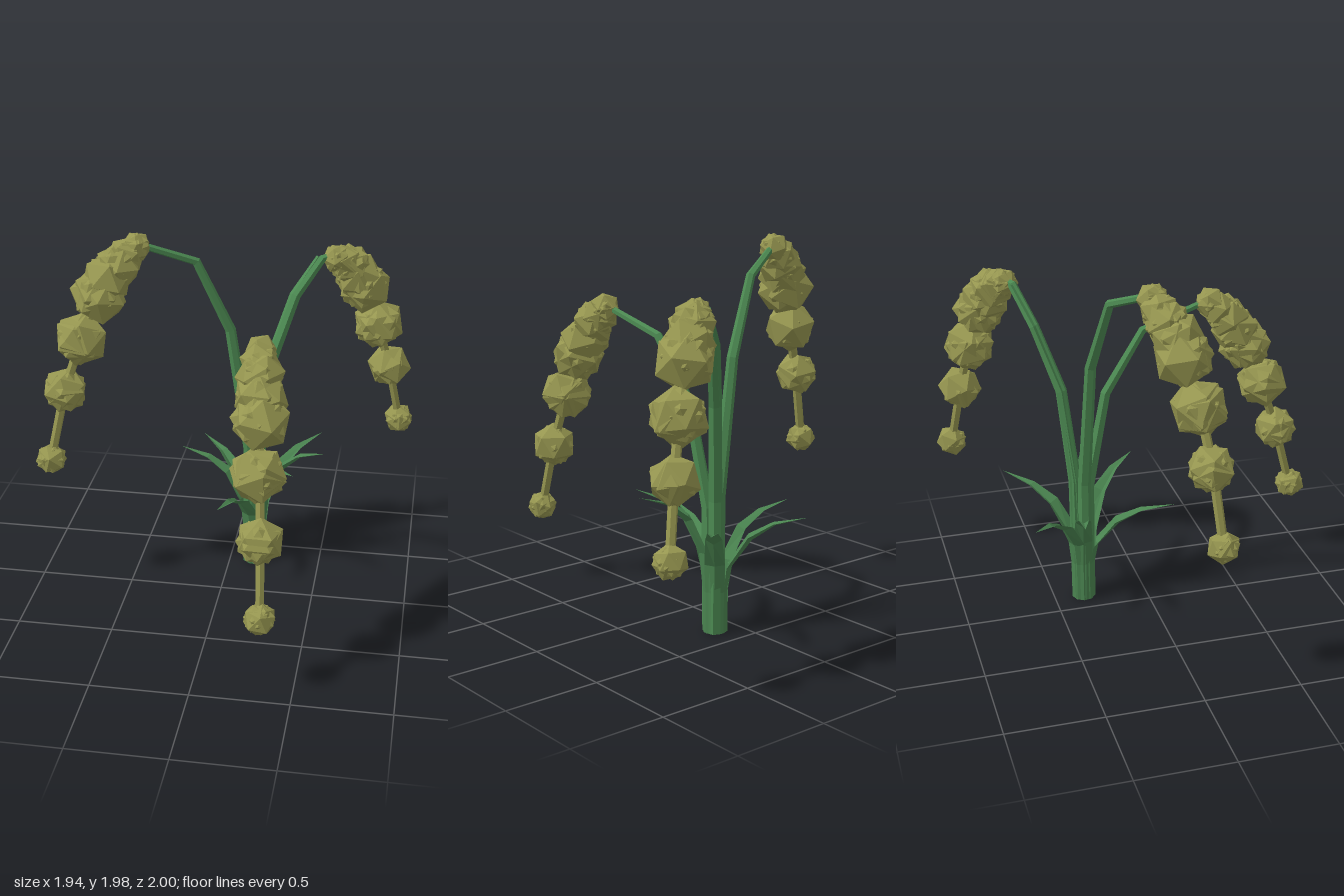
import * as THREE from 'three';
import { mergeGeometries } from 'three/addons/utils/BufferGeometryUtils.js';

const BASE = new THREE.Vector3(0.135, 0, -0.34);
const UP = new THREE.Vector3(0, 1, 0);
const V = (p) => new THREE.Vector3(...p);

// Small seeded random generator for the rough grain clusters
function seeded(seed) {
  return () => {
    seed = (seed * 16807) % 2147483647;
    return seed / 2147483647;
  };
}

// Tapered tube: rings of a cylinder moved onto a path
function taperedTube(points, r0, r1, sides) {
  const n = points.length - 1;
  const heading = points[n].clone().sub(points[0]).setY(0).normalize();
  const across = new THREE.Vector3().crossVectors(UP, heading);
  const geo = new THREE.CylinderGeometry(1, 1, n, sides, n);
  const pos = geo.attributes.position;
  for (let k = 0; k < pos.count; k++) {
    const i = Math.round(pos.getY(k) + n / 2);
    const tangent = points[Math.min(i + 1, n)].clone().sub(points[Math.max(i - 1, 0)]).normalize();
    const out = new THREE.Vector3().crossVectors(across, tangent).normalize();
    const side = new THREE.Vector3().crossVectors(tangent, out);
    const r = THREE.MathUtils.lerp(r0, r1, i / n);
    const p = points[i].clone().addScaledVector(side, pos.getX(k) * r).addScaledVector(out, pos.getZ(k) * r);
    pos.setXYZ(k, p.x, p.y, p.z);
  }
  geo.computeVertexNormals();
  return geo;
}

// Folded blade: upright sheath at the base, arching out to a pointed tip
function bladeGeometry(tip) {
  const flat = tip.clone().sub(BASE).setY(0);
  const reach = flat.length();
  const heading = flat.normalize();
  const side = new THREE.Vector3().crossVectors(UP, heading);
  // radius from the centre, height, half width, fold depth
  const rows = [
    [0.065, 0, 0.045, 0.02],
    [0.065, 0.22, 0.047, 0.02],
    [0.085, tip.y * 0.57, 0.052, 0.025],
    [reach * 0.4, tip.y * 0.8, 0.042, 0.02],
    [reach * 0.65, tip.y * 0.93, 0.026, 0.01],
    [reach, tip.y, 0, 0],
  ];
  const geo = new THREE.PlaneGeometry(2, 1, 2, rows.length - 1);
  const pos = geo.attributes.position;
  for (let k = 0; k < pos.count; k++) {
    const [r, y, w, fold] = rows[Math.floor(k / 3)];
    const x = pos.getX(k);
    const lift = Math.abs(x) * fold;
    const p = BASE.clone().addScaledVector(heading, r - lift).addScaledVector(side, x * w);
    pos.setXYZ(k, p.x, y + (k >= 9 ? lift : 0), p.z);
  }
  geo.computeVertexNormals();
  return geo;
}

// Rough cluster: overlapping, randomly turned icosahedra along the spine
function grainGeometry(spine, rand) {
  const radii = [0.08, 0.118, 0.148, 0.145, 0.122, 0.085];
  const parts = [];
  const add = (centre, r, copies) => {
    for (let c = 0; c < copies; c++) {
      const g = new THREE.IcosahedronGeometry(r * (1 - 0.04 * c), 0);
      g.rotateX(rand() * 6.28).rotateY(rand() * 6.28).rotateZ(rand() * 6.28);
      const j = () => (rand() - 0.5) * r * 0.16;
      g.translate(centre.x + j(), centre.y + j(), centre.z + j());
      parts.push(g);
    }
  };
  spine.forEach((p, i) => {
    add(p, radii[i], 3);
    if (i < 2) add(p.clone().lerp(spine[i + 1], 0.5), (radii[i] + radii[i + 1]) / 2, 2);
  });
  return mergeGeometries(parts);
}

// Each stalk: the bending stem, then the centres of its hanging clusters
const STALKS = [
  {
    name: 'left',
    stem: [[0.115, 0, -0.33], [0.105, 0.7, -0.33], [0.0, 1.4, -0.31], [-0.17, 1.79, -0.25], [-0.44, 1.91, -0.12]],
    grain: [[-0.45, 1.9, -0.11], [-0.54, 1.81, -0.07], [-0.63, 1.67, -0.01], [-0.72, 1.44, 0.04], [-0.81, 1.16, 0.08], [-0.89, 0.78, 0.115]],
  },
  {
    name: 'front',
    stem: [[0.145, 0, -0.31], [0.15, 0.65, -0.3], [0.18, 1.17, -0.19], [0.21, 1.49, 0.02], [0.255, 1.6, 0.38]],
    grain: [[0.26, 1.59, 0.4], [0.27, 1.5, 0.5], [0.28, 1.33, 0.61], [0.3, 1.1, 0.71], [0.32, 0.79, 0.82], [0.335, 0.42, 0.92]],
  },
  {
    name: 'back',
    stem: [[0.155, 0, -0.36], [0.16, 0.7, -0.37], [0.21, 1.2, -0.42], [0.32, 1.53, -0.53], [0.45, 1.72, -0.61], [0.52, 1.73, -0.65]],
    grain: [[0.52, 1.71, -0.65], [0.59, 1.66, -0.7], [0.67, 1.53, -0.75], [0.75, 1.29, -0.81], [0.82, 1.02, -0.86], [0.89, 0.67, -0.915]],
  },
];

const LEAF_TIPS = [
  [-0.2, 0.61, -0.66], [-0.29, 0.64, -0.42], [0.0, 0.56, 0.14],
  [0.38, 0.72, 0.0], [0.53, 0.75, -0.23], [0.47, 0.65, -0.7],
];

export function createModel() {
  const stemGreen = new THREE.MeshStandardMaterial({ color: 0x4c8a52, flatShading: true });
  stemGreen.name = 'stem green';
  const leafGreen = new THREE.MeshStandardMaterial({ color: 0x4a8450, flatShading: true, side: THREE.DoubleSide });
  leafGreen.name = 'leaf green';
  const grainOlive = new THREE.MeshStandardMaterial({ color: 0x969650, flatShading: true });
  grainOlive.name = 'grain olive';

  const model = new THREE.Group();
  model.name = 'grainPlant';
  const put = (parent, name, geo, mat) => {
    const mesh = new THREE.Mesh(geo, mat);
    mesh.name = name;
    parent.add(mesh);
  };

  // Three drooping stalks
  STALKS.forEach(({ name, stem, grain }, i) => {
    const stalk = new THREE.Group();
    stalk.name = name + 'Stalk';
    const spine = grain.map(V);
    put(stalk, 'stem', taperedTube(stem.map(V), 0.04, 0.018, 6), stemGreen);
    put(stalk, 'grainRod', taperedTube(spine, 0.026, 0.024, 6), grainOlive);
    put(stalk, 'grainHead', grainGeometry(spine, seeded(731 + i * 977)), grainOlive);
    model.add(stalk);
  });

  // Thin second strand beside the back stem
  const strand = STALKS[2].stem.slice(0, 5).map(V);
  strand.forEach((p, i) => p.add(new THREE.Vector3(-0.006 * i, 0, -0.004 * i)));
  put(model, 'sideStrand', taperedTube(strand, 0.034, 0.014, 5), stemGreen);

  // Ring of leaves wrapped around the base
  LEAF_TIPS.forEach((tip) => put(model, 'leaf', bladeGeometry(V(tip)), leafGreen));

  return model;
}
